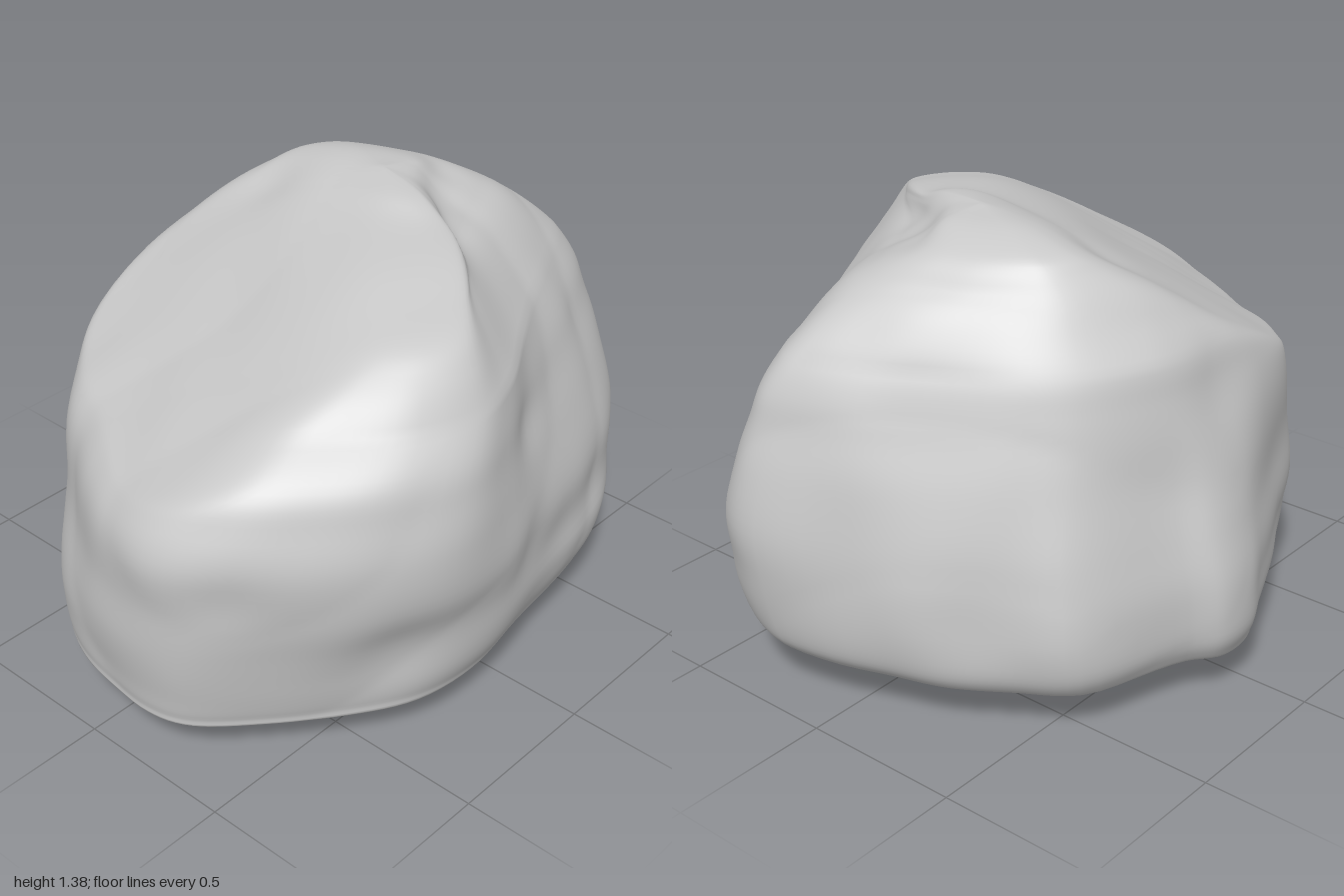
import * as THREE from 'three';
import { mergeVertices } from 'three/addons/utils/BufferGeometryUtils.js';

// Plan outlines (x, z) from the widest part up to the crown, walking from +x towards +z
const LOWER_PLAN = [
  [1, .22], [.97, .36], [.87, .5], [.6, .7], [.4, .76], [.12, .8], [-.15, .835], [-.4, .8], [-.6, .69],
  [-.79, .54], [-.96, .36], [-1, .22], [-.98, 0], [-.93, -.16], [-.85, -.3], [-.7, -.46], [-.4, -.63],
  [-.1, -.77], [.05, -.84], [.18, -.84], [.28, -.77], [.62, -.64], [.74, -.47], [.85, -.3], [.91, -.13],
];
const SHOULDER_PLAN = [
  [.83, .13], [.84, .2], [.77, .27], [.6, .36], [.4, .46], [.2, .57], [-.02, .7], [-.2, .75], [-.4, .69],
  [-.56, .55], [-.68, .4], [-.75, .2], [-.7, .02], [-.6, -.13], [-.52, -.26], [-.45, -.42], [-.33, -.58],
  [-.12, -.65], [.03, -.66], [.16, -.65], [.27, -.62], [.45, -.52], [.56, -.41], [.68, -.2], [.77, -.03],
];
const CROWN_PLAN = [
  [.62, .03], [.615, .08], [.58, .13], [.48, .19], [.36, .25], [.22, .33], [.06, .48], [-.06, .57], [-.17, .53],
  [-.24, .44], [-.28, .33], [-.3, .2], [-.3, .05], [-.29, -.1], [-.26, -.25], [-.21, -.36], [-.12, -.45],
  [-.02, -.49], [.05, -.5], [.14, -.49], [.23, -.47], [.38, -.4], [.45, -.33], [.53, -.21], [.58, -.09],
];
const LOWER_Y = .32, SHOULDER_Y = 1.05, CROWN_Y = 1.25;

// Extents of each level: height, min x, max x, min z, max z
const LEVELS = [
  [0, -.05, -.05, 0, 0], [.03, -.5, .4, -.45, .4], [.07, -.72, .62, -.65, .6], [.13, -.93, .86, -.79, .72],
  [.17, -.955, .93, -.825, .745], [.25, -.965, .965, -.85, .775], [.4, -.985, .99, -.84, .805],
  [.55, -.99, 1, -.8, .845], [.72, -1, .97, -.755, .84], [.85, -.95, .93, -.725, .82], [.95, -.89, .9, -.695, .8],
  [1.05, -.75, .84, -.66, .755], [1.15, -.58, .75, -.59, .7], [1.22, -.43, .67, -.53, .63],
  [1.27, -.2, .58, -.46, .5], [1.32, .04, .49, -.37, .32], [1.365, .14, .38, -.2, .18], [1.383, .25, .25, 0, 0],
];
// Hollows and bumps: x, y, z, radius, depth (negative swells outward)
const DENTS = [
  [.08, .85, .68, .09, .015], [.05, .5, .82, .1, .02], [-.5, .38, .75, .15, .025], [.25, .38, .78, .15, .015],
  [.55, .42, .7, .14, .02], [-.9, .65, .45, .12, .02], [.22, 1.27, .26, .08, .015], [.34, 1.29, .16, .08, .015],
  [.46, 1.3, .04, .08, .015], [.1, 1.3, -.35, .1, .015], [.9, .6, -.1, .16, .01], [.8, .35, -.4, .14, .015],
  [.05, .9, -.7, .14, .02], [-.3, .6, -.65, .16, .015], [-.5, .5, -.57, .14, -.015],
];
const AROUND = 144;
const STEPS = 5;

// Smooth closed outline, stretched to the square -1..1
function unitOutline(plan) {
  const curve = new THREE.CatmullRomCurve3(plan.map(([x, z]) => new THREE.Vector3(x, 0, z)), true);
  const pts = Array.from({ length: AROUND }, (_, i) => curve.getPoint(i / AROUND));
  const box = new THREE.Box3().setFromPoints(pts);
  const mid = box.getCenter(new THREE.Vector3());
  const size = box.getSize(new THREE.Vector3());
  return pts.map(p => [2 * (p.x - mid.x) / size.x, 2 * (p.z - mid.z) / size.z]);
}

// Catmull-Rom between neighbouring levels
function levelAt(i, t) {
  const row = k => LEVELS[Math.min(Math.max(k, 0), LEVELS.length - 1)];
  return row(i).map((b, c) => {
    const a = row(i - 1)[c], d = row(i + 1)[c], e = row(i + 2)[c];
    return b + .5 * t * (d - a + t * (2 * a - 5 * b + 4 * d - e + t * (3 * (b - d) + e - a)));
  });
}

// Broad sloping face on top, falling towards -x and -z, with a softened rim
function underSlope(x, y, z) {
  const slope = 1.31 + .55 * x + .3 * z, soft = .07;
  const h = Math.max(soft - Math.abs(y - slope), 0) / soft;
  return Math.min(y, slope) - h * h * soft / 4;
}

// Broad chipped unevenness
function rough(x, y, z) {
  const ridge = v => Math.abs(Math.sin(v)) - .64;
  return .006 * ridge(3.1 * x + 2.3 * y - 1.7 * z + .6 * Math.sin(4 * y))
    + .006 * ridge(-4.7 * x + 5.1 * y + 4.3 * z + .8 * Math.sin(5 * x))
    + .005 * Math.sin(9 * x + 2 * Math.sin(6 * z)) * Math.sin(8 * y + 1) * Math.sin(7 * z + 2);
}

// Push each vertex along its normal by the roughness and the dents
function weather(geo) {
  geo.computeVertexNormals();
  const pos = geo.attributes.position, nor = geo.attributes.normal;
  const p = new THREE.Vector3(), n = new THREE.Vector3(), c = new THREE.Vector3();
  for (let i = 0; i < pos.count; i++) {
    p.fromBufferAttribute(pos, i);
    n.fromBufferAttribute(nor, i);
    let push = rough(p.x, p.y, p.z);
    for (const [x, y, z, r, depth] of DENTS)
      push -= depth * Math.exp(-p.distanceToSquared(c.set(x, y, z)) / (r * r));
    p.addScaledVector(n, push * THREE.MathUtils.smoothstep(p.y, -.1, .3));
    pos.setXYZ(i, p.x, p.y, p.z);
  }
}

function boulderGeometry() {
  const [lower, shoulder, crown] = [LOWER_PLAN, SHOULDER_PLAN, CROWN_PLAN].map(unitOutline);
  const { lerp, clamp } = THREE.MathUtils;
  const rows = [];
  for (let i = 0; i < LEVELS.length - 1; i++)
    for (let s = 0; s < STEPS; s++) rows.push(levelAt(i, s / STEPS));
  rows.push(LEVELS[LEVELS.length - 1]);

  const verts = [], index = [];
  rows.forEach(([y, x0, x1, z0, z1], r) => {
    const rise = clamp((y - LOWER_Y) / (SHOULDER_Y - LOWER_Y), 0, 1);
    const top = clamp((y - SHOULDER_Y) / (CROWN_Y - SHOULDER_Y), 0, 1);
    const plan = (k, c) => lerp(lerp(lower[k][c], shoulder[k][c], rise), crown[k][c], top);
    for (let k = 0; k < AROUND; k++) {
      const x = (x0 + x1 + plan(k, 0) * (x1 - x0)) / 2;
      const z = (z0 + z1 + plan(k, 1) * (z1 - z0)) / 2;
      verts.push(x, underSlope(x, y, z), z);
      if (r === rows.length - 1) continue;
      const a = r * AROUND + k, b = r * AROUND + (k + 1) % AROUND;
      index.push(a, a + AROUND, b, b, a + AROUND, b + AROUND);
    }
  });
  let geo = new THREE.BufferGeometry();
  geo.setAttribute('position', new THREE.Float32BufferAttribute(verts, 3));
  geo.setIndex(index);
  geo = mergeVertices(geo, 1e-5);
  weather(geo);

  // Centre it and stand it on the ground
  geo.computeBoundingBox();
  const { min, max } = geo.boundingBox;
  geo.translate(-(min.x + max.x) / 2, -min.y, -(min.z + max.z) / 2);
  geo.computeVertexNormals();
  return geo;
}

export function createModel() {
  const stone = new THREE.MeshStandardMaterial({ color: 0xc8c8c8 });
  stone.name = 'grey stone';
  const boulder = new THREE.Mesh(boulderGeometry(), stone);
  boulder.name = 'boulder';
  const model = new THREE.Group();
  model.name = 'rock';
  model.add(boulder);
  return model;
}
